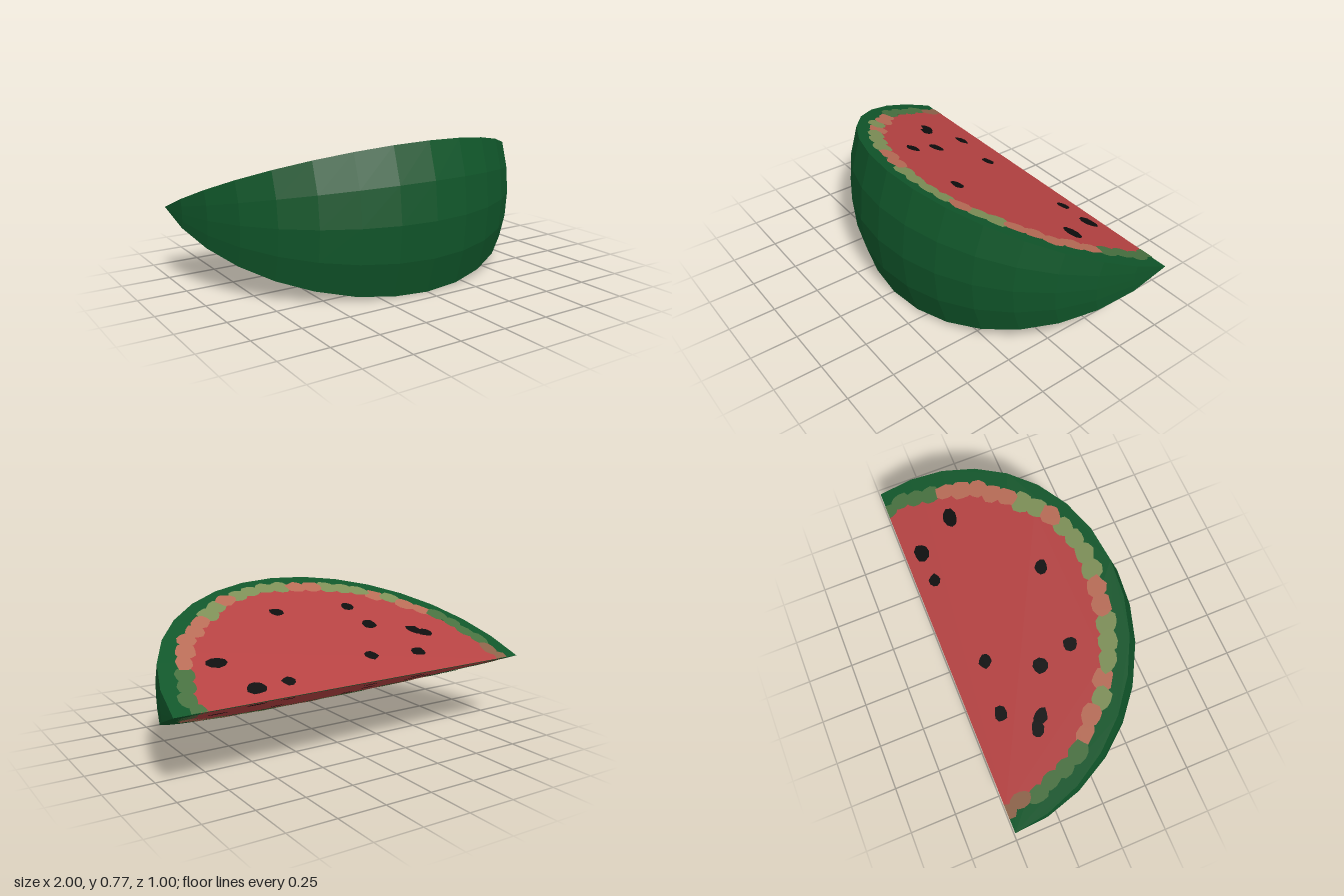
import * as THREE from 'three';

const HALF = Math.PI / 8; // half the opening angle of the wedge
const APEX = new THREE.Vector3(0, Math.sin(HALF), -0.5);

const mat = (name, color, flatShading = false) => {
  const m = new THREE.MeshStandardMaterial({ color, flatShading });
  m.name = name;
  return m;
};

// small seeded generator, 0..1
function seeded(seed) {
  return () => {
    seed = (seed * 16807) % 2147483647;
    return seed / 2147483647;
  };
}

// irregular rounded polygon, kept above the straight cut edge
function blob(rand, x, v, rx, ry, turn, sides, wobble) {
  const pts = [];
  for (let i = 0; i < sides; i++) {
    const a = (i / sides) * Math.PI * 2;
    const k = 1 + (rand() - 0.5) * wobble;
    const p = new THREE.Vector2(Math.cos(a) * rx * k, Math.sin(a) * ry * k);
    p.rotateAround(new THREE.Vector2(), turn);
    pts.push(new THREE.Vector2(x + p.x, Math.max(0, v + p.y)));
  }
  return pts;
}

function halfDisc(r, segments) {
  const pts = [];
  for (let i = 0; i <= segments; i++) {
    const a = (i / segments) * Math.PI;
    pts.push(new THREE.Vector2(Math.cos(a) * r, Math.sin(a) * r));
  }
  return pts;
}

// seeds: x, distance from the straight edge, two radii, turn
const SEEDS = [
  [-0.44, 0.163, 0.042, 0.036, 0.3], [-0.155, 0.195, 0.04, 0.036, 0.6],
  [-0.595, 0.312, 0.045, 0.034, 0.3], [-0.545, 0.35, 0.046, 0.036, 0.9],
  [-0.315, 0.455, 0.04, 0.044, 0.2], [-0.285, 0.638, 0.039, 0.038, 0],
  [0.375, 0.108, 0.038, 0.034, -0.4], [0.555, 0.097, 0.05, 0.046, -0.3],
  [0.65, 0.322, 0.056, 0.04, -0.1], [0.145, 0.665, 0.042, 0.034, 0.2],
];
// mottling colours in order from the left end of the arc to the right end
const MOTTLE = 'mmmmttttto' + 'otoooottoo' + 'otottmmmmbb';

export function createModel() {
  const rindMat = mat('rind green', 0x10562a, true);
  const fleshMat = mat('flesh red', 0xb54242);
  const seedMat = mat('seed black', 0x0d0d0d);
  const mottleMats = {
    t: mat('mottle pink tan', 0xb86c56),
    o: mat('mottle olive', 0x7d8f57),
    m: mat('mottle dull green', 0x47703f),
    b: mat('mottle brown', 0x8c6248),
  };

  const group = new THREE.Group();
  group.name = 'melonSlice';

  // curved outer rind, poles turned onto the x axis
  const rindGeo = new THREE.SphereGeometry(1, 4, 16, Math.PI / 2 - HALF, HALF * 2);
  rindGeo.rotateZ(Math.PI / 2);
  const rind = new THREE.Mesh(rindGeo, rindMat);
  rind.name = 'rind';
  rind.position.copy(APEX);
  group.add(rind);

  // one cut face; the upper and lower faces mirror each other
  function cutFace(side) {
    const face = new THREE.Group();
    face.name = side > 0 ? 'upperCutFace' : 'lowerCutFace';
    const rand = seeded(4711);
    const plate = (name, pts, material, lift) => {
      const shape = new THREE.Shape(pts.map((p) => new THREE.Vector2(-side * p.x, p.y)));
      const mesh = new THREE.Mesh(new THREE.ShapeGeometry(shape), material);
      mesh.name = name;
      mesh.position.z = lift;
      face.add(mesh);
    };

    plate('rindEdge', halfDisc(1, 16), rindMat, 0);
    plate('flesh', halfDisc(0.875, 48), fleshMat, 0.0015);

    // mottled band between flesh and rind
    [...MOTTLE].forEach((key, i) => {
      const a = (i / (MOTTLE.length - 1)) * Math.PI;
      const r = 0.888 + (rand() - 0.5) * 0.03;
      const thick = 0.036 + 0.012 * Math.sin(a) + rand() * 0.008;
      const pts = blob(rand, Math.cos(a) * r, Math.sin(a) * r, thick, 0.062, a, 11, 0.25);
      plate('mottle', pts, mottleMats[key], 0.003 + (i % 3) * 0.001);
    });

    for (const [x, v, rx, ry, turn] of SEEDS) {
      plate('seed', blob(rand, x, v, rx, ry, turn, 9, 0.3), seedMat, 0.003);
    }

    // plane axes: along the edge, out towards the rind, outward normal
    const out = new THREE.Vector3(0, side * Math.sin(HALF), Math.cos(HALF));
    const normal = new THREE.Vector3(0, side * Math.cos(HALF), -Math.sin(HALF));
    const basis = new THREE.Matrix4().makeBasis(new THREE.Vector3(-side, 0, 0), out, normal);
    face.quaternion.setFromRotationMatrix(basis);
    face.position.copy(APEX);
    return face;
  }

  group.add(cutFace(1), cutFace(-1));
  return group;
}
